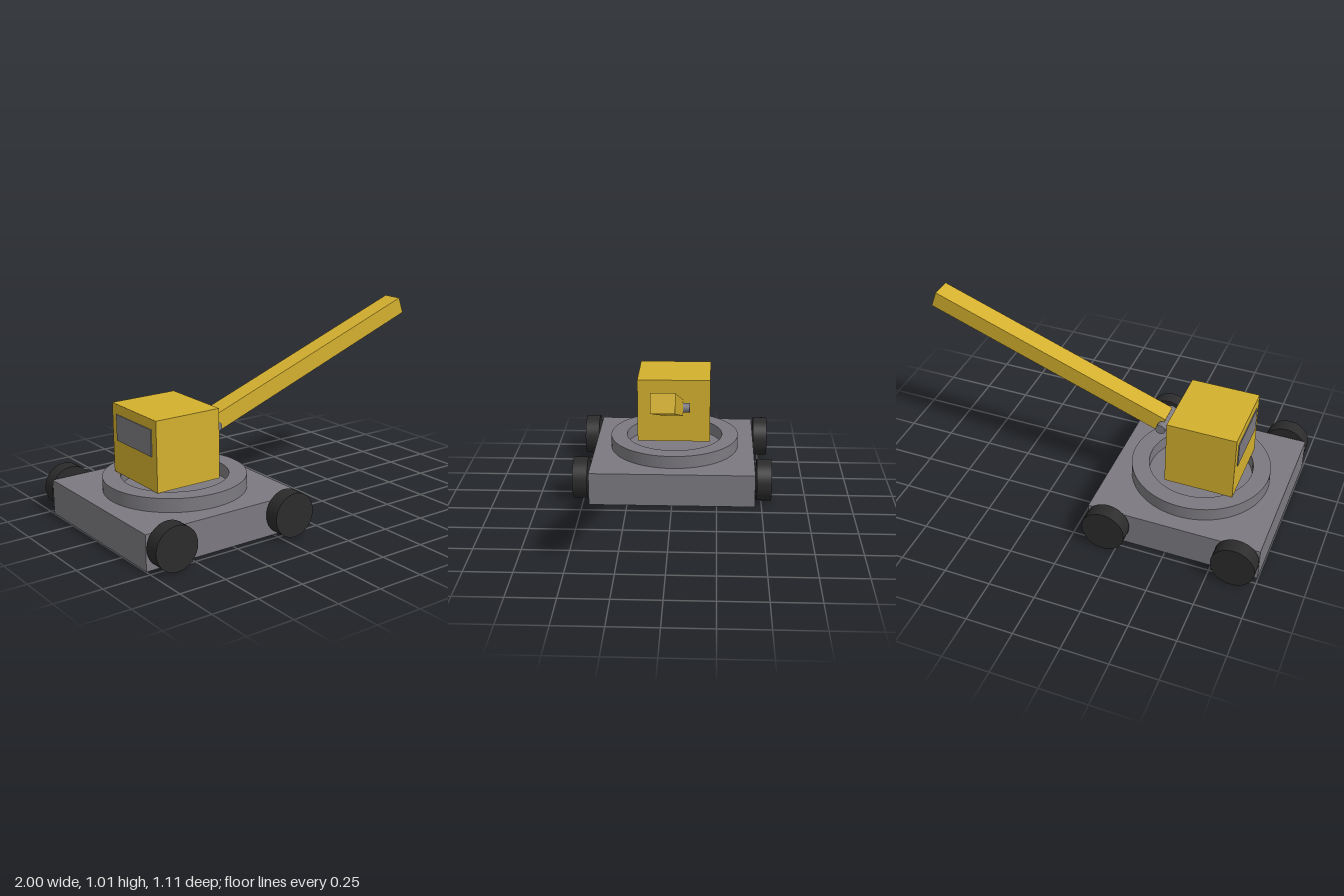
import * as THREE from 'three';

export function createModel() {
  const model = new THREE.Group();
  const yellow = new THREE.MeshStandardMaterial({ name: 'yellow paint', color: 0xd4b02e });
  const grey = new THREE.MeshStandardMaterial({ name: 'grey metal', color: 0x7c7a80 });
  const black = new THREE.MeshStandardMaterial({ name: 'black rubber', color: 0x2b2b2b });
  const axisX = -0.535; // turning axis of the crane

  function add(name, geometry, material, x, y, z) {
    const mesh = new THREE.Mesh(geometry, material);
    mesh.name = name;
    mesh.position.set(x, y, z);
    model.add(mesh);
    return mesh;
  }

  // Flat chassis
  add('chassis', new THREE.BoxGeometry(0.926, 0.187, 0.926), grey, axisX, 0.0935, 0);

  // Four wheels beside the chassis
  const wheel = new THREE.CylinderGeometry(0.116, 0.116, 0.082, 48).rotateX(Math.PI / 2);
  for (const side of [1, -1]) {
    for (const end of [1, -1]) {
      add('wheel', wheel, black, axisX + end * 0.348, 0.118, side * 0.513);
    }
  }

  // Open turntable ring
  const ring = new THREE.Shape().absarc(0, 0, 0.371, 0, Math.PI * 2);
  ring.holes.push(new THREE.Path().absarc(0, 0, 0.278, 0, Math.PI * 2, true));
  const ringGeometry = new THREE.ExtrudeGeometry(ring, { depth: 0.072, bevelEnabled: false, curveSegments: 64 });
  add('turntableRing', ringGeometry.rotateX(-Math.PI / 2), grey, axisX, 0.187, 0);

  // Cab with a window panel on its -x face
  add('cab', new THREE.BoxGeometry(0.37, 0.368, 0.416), yellow, -0.584, 0.446, 0);
  add('cabWindow', new THREE.BoxGeometry(0.008, 0.138, 0.33), grey, -0.77, 0.508, 0);

  // Raised boom and its pivot pin
  const boom = add('boom', new THREE.BoxGeometry(1.392, 0.092, 0.111), yellow, 0.3275, 0.729, 0);
  boom.rotation.z = THREE.MathUtils.degToRad(20);
  const pin = new THREE.CylinderGeometry(0.027, 0.027, 0.186, 32).rotateX(Math.PI / 2);
  add('pivotPin', pin, grey, -0.328, 0.49, 0);

  return model;
}
